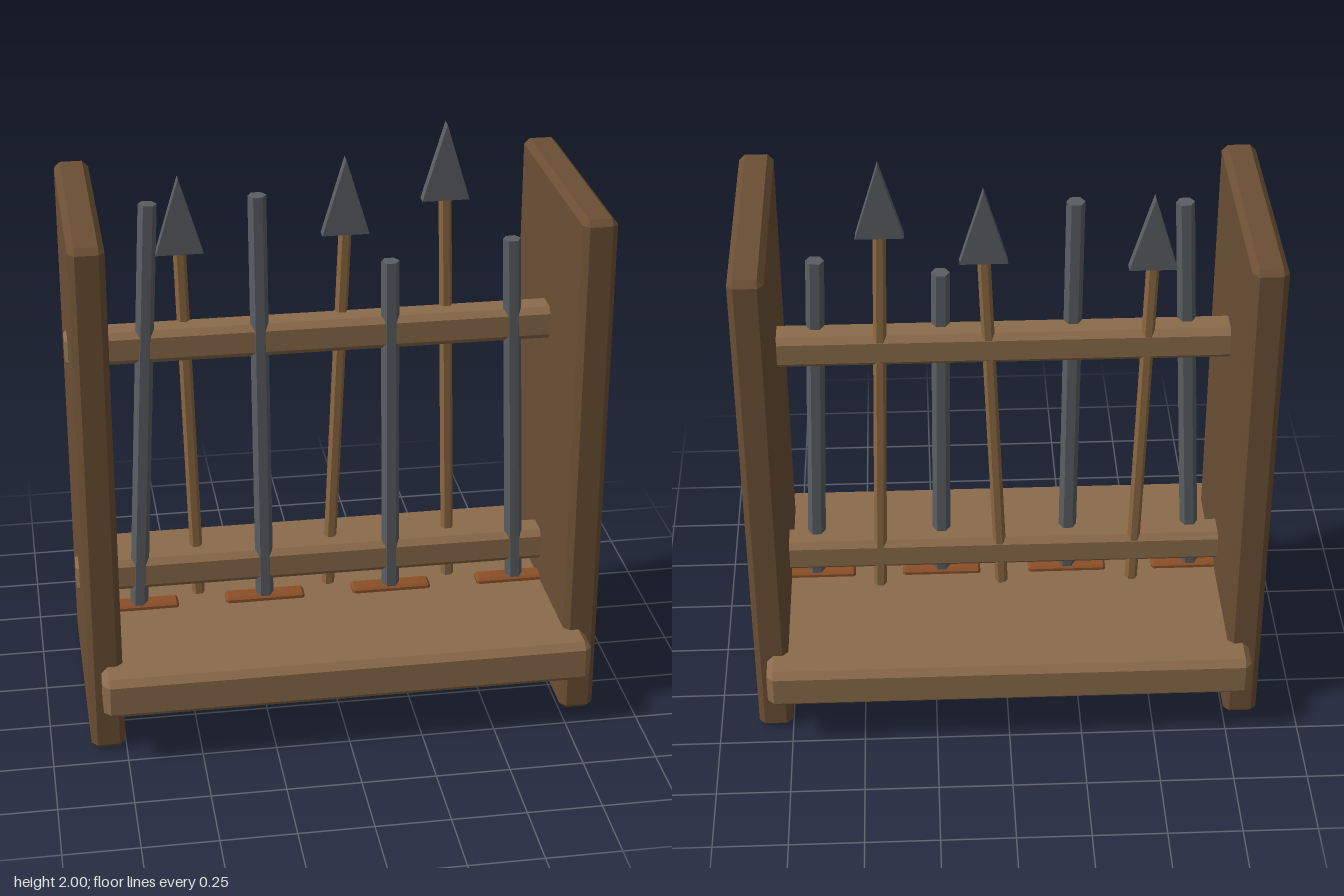
import * as THREE from 'three';
import { ConvexGeometry } from 'three/addons/geometries/ConvexGeometry.js';

const mat = (name, color) => {
  const m = new THREE.MeshStandardMaterial({ color });
  m.name = name;
  return m;
};

// Box with every edge cut at 45 degrees
function chamferBox(w, h, d, c) {
  const pts = [];
  for (const sx of [-1, 1]) for (const sy of [-1, 1]) for (const sz of [-1, 1]) {
    for (let axis = 0; axis < 3; axis++) {
      const p = [w / 2 - c, h / 2 - c, d / 2 - c];
      p[axis] += c;
      pts.push(new THREE.Vector3(p[0] * sx, p[1] * sy, p[2] * sz));
    }
  }
  return new ConvexGeometry(pts);
}

// Faceted rod between two points in a plane of constant z, corners along x
function rod(x0, y0, x1, y1, z, r, sides) {
  const dx = x1 - x0, dy = y1 - y0;
  const g = new THREE.CylinderGeometry(r, r, Math.hypot(dx, dy), sides).toNonIndexed();
  g.rotateY(Math.PI / 2);
  g.rotateZ(-Math.atan2(dx, dy));
  g.translate((x0 + x1) / 2, (y0 + y1) / 2, z);
  g.computeVertexNormals();
  return g;
}

export function createModel() {
  const model = new THREE.Group();
  model.name = 'weaponRack';
  const darkWood = mat('dark wood', 0x6b4f34);
  const lightWood = mat('light wood', 0x8b6b4a);
  const shaftWood = mat('shaft wood', 0x8b6840);
  const steel = mat('steel', 0x5a5e62);
  const bronze = mat('guard bronze', 0x8b5028);
  const leather = mat('grip leather', 0x6b4a2f);

  const add = (parent, name, geo, material, x = 0, y = 0, z = 0) => {
    const mesh = new THREE.Mesh(geo, material);
    mesh.name = name;
    mesh.position.set(x, y, z);
    parent.add(mesh);
  };

  // Frame: side panels, shelf and two rails
  for (const s of [-1, 1]) {
    add(model, s > 0 ? 'leftPanel' : 'rightPanel', chamferBox(0.115, 1.805, 0.85, 0.02), darkWood, s * 0.81, 0.9025, 0);
  }
  add(model, 'shelf', chamferBox(1.65, 0.145, 1.06, 0.022), lightWood, 0, 0.25, 0);
  add(model, 'lowerRail', chamferBox(1.755, 0.114, 0.114, 0.02), lightWood, 0, 0.453, 0);
  add(model, 'upperRail', chamferBox(1.755, 0.114, 0.114, 0.02), lightWood, 0, 1.302, 0);

  // Swords: [foot x, top x, top y], standing hilt down through the shelf
  const swords = [[-0.667, -0.59, 1.80], [-0.226, -0.235, 1.81], [0.22, 0.206, 1.555], [0.664, 0.615, 1.61]];
  for (const [x0, x1, top] of swords) {
    const sword = new THREE.Group();
    sword.name = 'sword';
    add(sword, 'blade', rod(x0, 0.3, x1, top, 0.033, 0.031, 6), steel);
    add(sword, 'guard', chamferBox(0.275, 0.045, 0.065, 0.008), bronze, x0, 0.318, 0.033);
    add(sword, 'grip', rod(x0, 0.115, x0, 0.31, 0.033, 0.038, 8), leather);
    model.add(sword);
  }

  // Spears: [foot x, head x, head base y]
  const outline = new THREE.Shape([
    new THREE.Vector2(-0.079, 0), new THREE.Vector2(0.079, 0), new THREE.Vector2(0, 0.262),
  ]);
  const headGeo = new THREE.ExtrudeGeometry(outline, { depth: 0.04, bevelEnabled: false });
  headGeo.translate(0, 0, -0.02);
  const spears = [[-0.446, -0.485, 1.598], [0, 0.066, 1.635], [0.443, 0.4, 1.737]];
  for (const [x0, x1, base] of spears) {
    const spear = new THREE.Group();
    spear.name = 'spear';
    add(spear, 'shaft', rod(x0, 0.115, x1, base + 0.02, -0.037, 0.022, 6), shaftWood);
    add(spear, 'head', headGeo, steel, x1, base, -0.037);
    model.add(spear);
  }
  return model;
}
